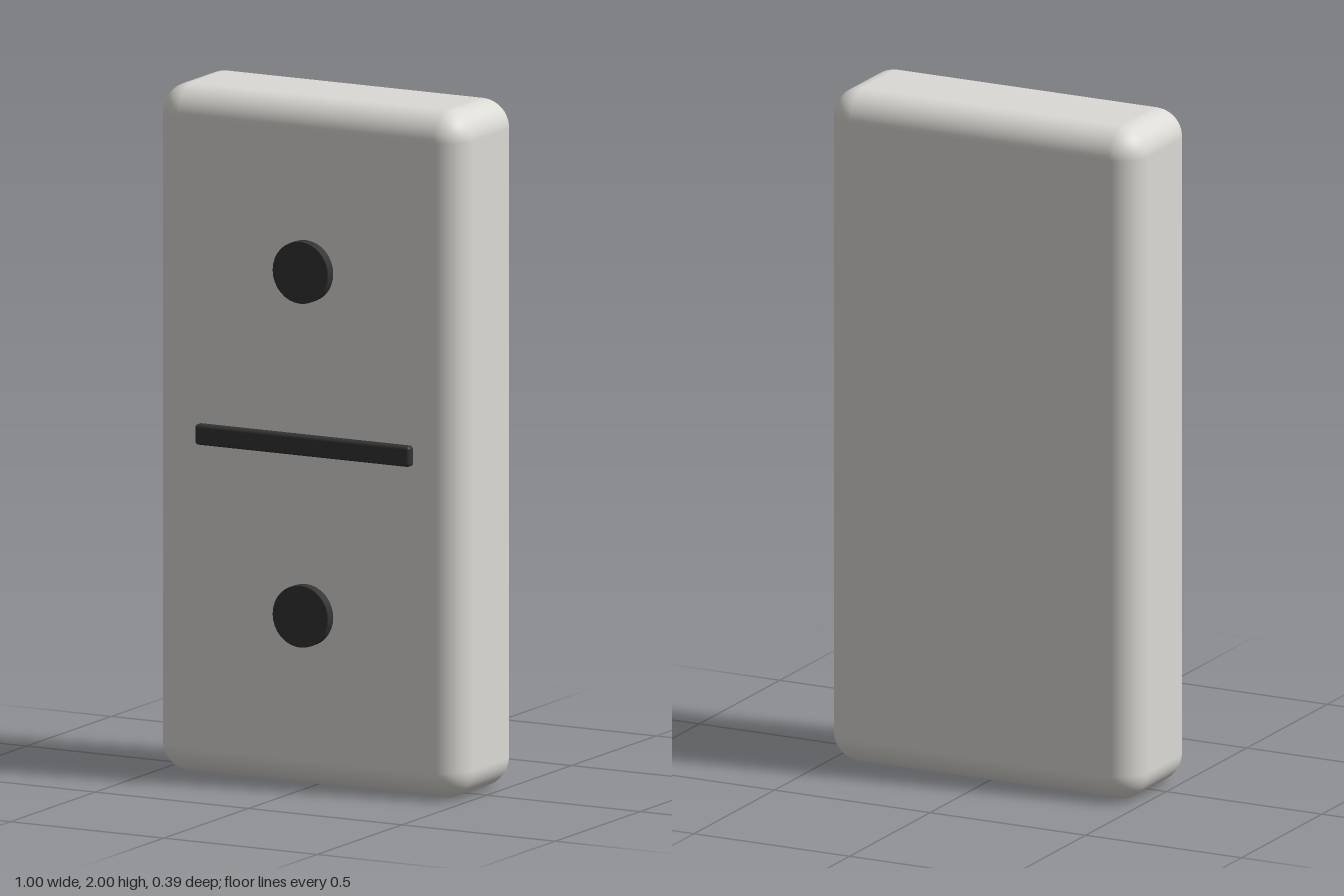
import * as THREE from 'three';
import { RoundedBoxGeometry } from 'three/addons/geometries/RoundedBoxGeometry.js';

const BACK = -0.195, FACE = 0.163, PIP_FRONT = 0.195, BAR_FRONT = 0.187;

export function createModel() {
  const model = new THREE.Group();
  model.name = 'dominoTile';

  const ivory = new THREE.MeshStandardMaterial({ color: 0xdcdad5 });
  ivory.name = 'ivory';
  const black = new THREE.MeshStandardMaterial({ color: 0x333333 });
  black.name = 'black';

  const add = (name, geometry, material, x, y, z) => {
    const mesh = new THREE.Mesh(geometry, material);
    mesh.name = name;
    mesh.position.set(x, y, z);
    model.add(mesh);
  };

  // Tile with softly rounded edges
  add('tileBody', new RoundedBoxGeometry(1, 2, FACE - BACK, 8, 0.085), ivory, 0, 1, (FACE + BACK) / 2);

  // Raised bar between the two halves, partly sunk into the face
  const barDepth = 0.06;
  add('dividerBar', new RoundedBoxGeometry(0.7, 0.06, barDepth, 4, 0.01), black, 0, 1, BAR_FRONT - barDepth / 2);

  // One round pip in the middle of each half
  const pipDepth = 0.06;
  const pip = new THREE.CylinderGeometry(0.09, 0.09, pipDepth, 32).rotateX(Math.PI / 2);
  for (const [name, y] of [['lowerPip', 0.505], ['upperPip', 1.505]]) {
    add(name, pip, black, 0, y, PIP_FRONT - pipDepth / 2);
  }

  return model;
}
